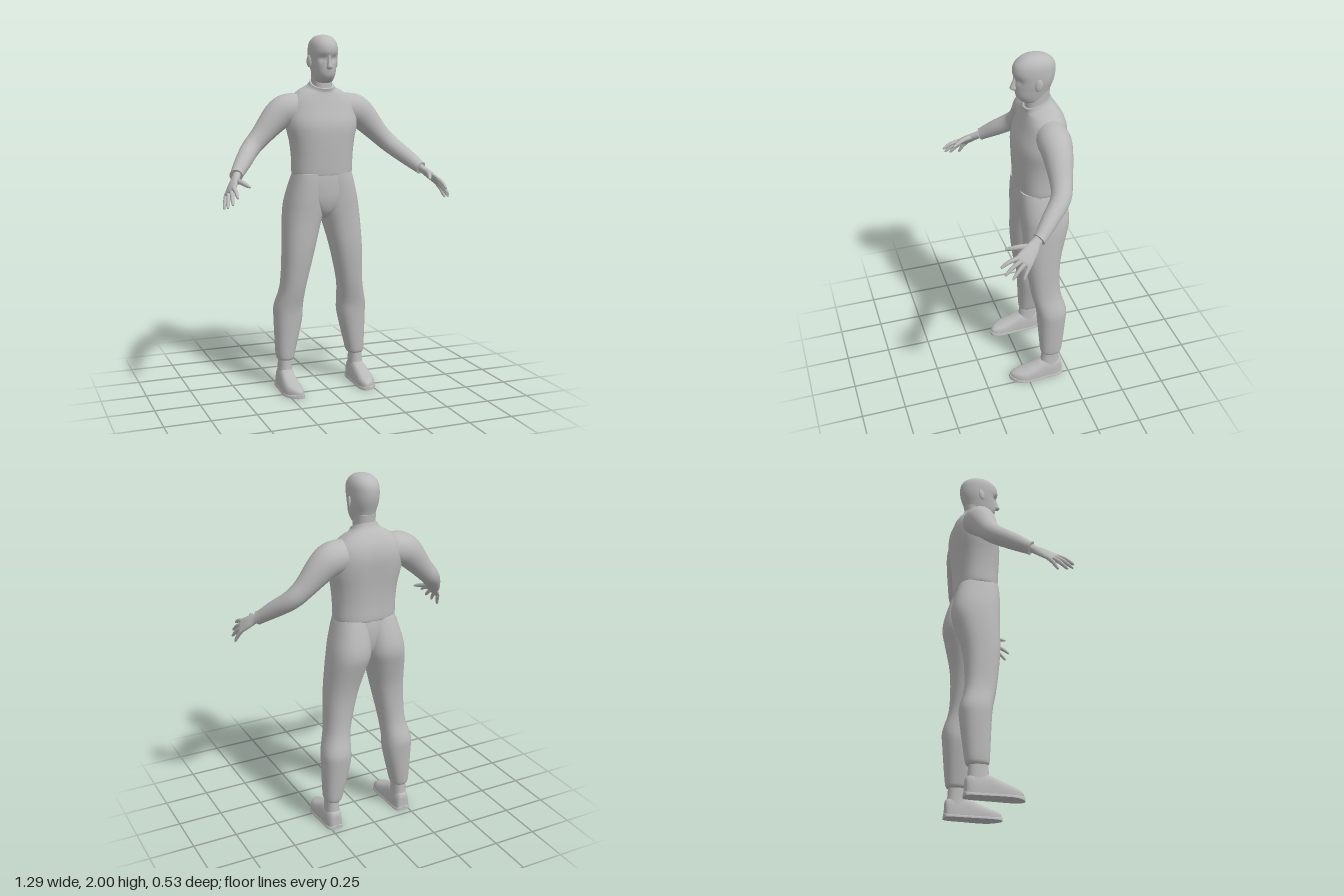
import * as THREE from 'three';

const V = (x, y, z) => new THREE.Vector3(x, y, z);
const grey = new THREE.MeshStandardMaterial({ color: 0xbababa });
grey.name = 'plain grey';

// Catmull-Rom subdivision of a list of equally long number rows
function refine(rows, n) {
  const out = [];
  const at = i => rows[Math.max(0, Math.min(rows.length - 1, i))];
  for (let i = 0; i < rows.length - 1; i++) {
    for (let k = 0; k < n; k++) {
      const t = k / n;
      out.push(at(i).map((p1, c) => {
        const p0 = at(i - 1)[c], p2 = at(i + 1)[c], p3 = at(i + 2)[c];
        return p1 + 0.5 * t * (p2 - p0 + t * (2 * p0 - 5 * p1 + 4 * p2 - p3 + t * (3 * (p1 - p2) + p3 - p0)));
      }));
    }
  }
  out.push(rows[rows.length - 1]);
  return out;
}

// Skin over closed rings of points, with flat caps at both ends
function loft(rings) {
  const n = rings[0].length, pos = [], idx = [];
  rings.forEach(r => r.forEach(p => pos.push(p.x, p.y, p.z)));
  for (let i = 0; i < rings.length - 1; i++) {
    for (let j = 0; j < n; j++) {
      const a = i * n + j, b = i * n + (j + 1) % n, c = a + n, d = b + n;
      idx.push(a, c, b, b, c, d);
    }
  }
  [rings[0], rings[rings.length - 1]].forEach((r, end) => {
    const s = pos.length / 3;
    const mid = r.reduce((m, p) => m.add(p), V(0, 0, 0)).divideScalar(n);
    [mid, ...r].forEach(p => pos.push(p.x, p.y, p.z));
    for (let j = 0; j < n; j++) {
      const a = s + 1 + j, b = s + 1 + (j + 1) % n;
      if (end) idx.push(s, b, a); else idx.push(s, a, b);
    }
  });
  const g = new THREE.BufferGeometry();
  g.setAttribute('position', new THREE.Float32BufferAttribute(pos, 3));
  g.setIndex(idx);
  g.computeVertexNormals();
  return g;
}

// Upright body: rows of y, x min, x max, z front, z back and an optional tilt
function stack(rows, { sides = 28, power = 0.85, shape } = {}) {
  const bend = v => Math.sign(v) * Math.abs(v) ** power;
  const full = rows.map(r => [...r, 0].slice(0, 6));
  return loft(refine(full, 3).map(([y, x0, x1, zf, zb, tilt]) =>
    Array.from({ length: sides }, (_, j) => {
      const a = j / sides * Math.PI * 2;
      const dz = (zf - zb) / 2 * bend(Math.sin(a));
      const p = V((x0 + x1) / 2 + (x1 - x0) / 2 * bend(Math.cos(a)), y + tilt * dz, (zf + zb) / 2 + dz);
      if (shape) shape(p, Math.sin(a));
      return p;
    })));
}
const even = rows => rows.map(([y, w, ...rest]) => [y, -w, w, ...rest]);

// Limb: rows of x, y, z, thickness radius, breadth radius
function limb(rows, { sides = 18, n = 4 } = {}) {
  const ref = V(0.8, 0.6, 0);
  const fine = refine(rows, n), c = fine.map(r => V(r[0], r[1], r[2]));
  return loft(fine.map((r, i) => {
    const t = c[Math.min(i + 1, c.length - 1)].clone().sub(c[Math.max(i - 1, 0)]).normalize();
    const v = V(0, 0, 0).crossVectors(t, ref).normalize();
    const u = V(0, 0, 0).crossVectors(v, t);
    return Array.from({ length: sides }, (_, j) => {
      const a = j / sides * Math.PI * 2;
      return c[i].clone().addScaledVector(v, r[4] * Math.cos(a)).addScaledVector(u, r[3] * Math.sin(a));
    });
  }));
}

// Foot piece: rows of z, centre x, half width, height
function shoe(rows, grow, low, topOf) {
  return loft(refine(rows, 3).map(([z, cx, w, h]) =>
    Array.from({ length: 20 }, (_, j) => {
      const a = j / 20 * Math.PI * 2, up = Math.cos(a), s = Math.sin(a);
      const across = Math.sign(s) * Math.abs(s) ** 0.6;
      return V(cx + (w + grow) * across, up > 0 ? low + (topOf(h) - low) * up ** 0.8 : low, z + grow * Math.sign(z));
    })));
}

function mirrored(geo) {
  const g = geo.clone(), p = g.attributes.position, ix = g.index;
  for (let i = 0; i < p.count; i++) p.setX(i, -p.getX(i));
  for (let i = 0; i < ix.count; i += 3) {
    const b = ix.getX(i + 1);
    ix.setX(i + 1, ix.getX(i + 2));
    ix.setX(i + 2, b);
  }
  g.computeVertexNormals();
  return g;
}

export function createModel() {
  const model = new THREE.Group();
  model.name = 'standingMan';
  const add = (name, geo) => {
    const m = new THREE.Mesh(geo, grey);
    m.name = name;
    model.add(m);
  };
  const pair = (name, geo) => {
    add(name + 'Left', geo);
    add(name + 'Right', mirrored(geo));
  };
  const bump = (d, w) => Math.exp(-(d * d) / (w * w));

  // Head with eye sockets and mouth line, nose, ears, neck
  add('head', stack(even([
    [1.737, 0.036, -0.05, -0.14], [1.752, 0.05, -0.018, -0.158], [1.785, 0.06, 0.006, -0.172],
    [1.82, 0.067, 0.008, -0.183], [1.85, 0.073, 0.008, -0.194], [1.88, 0.076, 0.012, -0.202],
    [1.91, 0.077, 0.02, -0.205], [1.945, 0.074, 0.014, -0.202], [1.972, 0.063, -0.008, -0.185],
    [1.992, 0.042, -0.04, -0.15], [2.0, 0.014, -0.08, -0.11],
  ]), {
    power: 0.92, sides: 36, shape: (p, s) => {
      if (s <= 0) return;
      p.z -= 0.016 * bump(Math.abs(p.x) - 0.032, 0.016) * bump(p.y - 1.872, 0.016);
      p.z -= 0.006 * bump(p.x, 0.025) * bump(p.y - 1.792, 0.007);
    },
  }));
  add('nose', stack(even([
    [1.812, 0.008, 0.018, -0.01], [1.822, 0.016, 0.034, -0.01], [1.84, 0.012, 0.03, -0.01],
    [1.87, 0.008, 0.018, -0.01], [1.895, 0.008, 0.014, -0.01],
  ]), { sides: 14 }));
  const ear = new THREE.SphereGeometry(1, 14, 10).scale(0.009, 0.034, 0.02);
  ear.rotateY(-0.35).rotateX(-0.15).translate(0.079, 1.857, -0.095);
  pair('ear', ear);
  add('neck', stack(even([
    [1.64, 0.065, -0.045, -0.18], [1.72, 0.056, -0.048, -0.172], [1.8, 0.056, -0.05, -0.178],
  ])));

  // Sweater with a slanted collar and a shallow spine groove
  add('sweater', stack(even([
    [1.232, 0.168, 0.005, -0.225], [1.25, 0.174, 0.008, -0.23], [1.33, 0.176, 0.012, -0.232],
    [1.42, 0.186, 0.016, -0.24], [1.51, 0.205, 0.014, -0.252], [1.59, 0.2, -0.012, -0.258],
    [1.65, 0.178, -0.03, -0.245, -0.05], [1.695, 0.125, -0.042, -0.215, -0.15],
    [1.715, 0.08, -0.042, -0.192, -0.3], [1.735, 0.066, -0.038, -0.182, -0.4],
  ]), {
    shape: (p, s) => {
      if (s < 0) p.z += 0.012 * bump(p.x, 0.03) * bump(p.y - 1.45, 0.2);
    },
  }));
  pair('sleeve', limb([
    [0.1, 1.6, -0.14, 0.08, 0.08], [0.19, 1.59, -0.142, 0.09, 0.088], [0.255, 1.553, -0.14, 0.082, 0.08],
    [0.35, 1.452, -0.128, 0.059, 0.06], [0.415, 1.388, -0.105, 0.052, 0.053],
    [0.48, 1.323, -0.03, 0.046, 0.046], [0.532, 1.268, 0.035, 0.036, 0.036], [0.542, 1.258, 0.05, 0.036, 0.037],
  ]));

  // Hands
  pair('palm', limb([
    [0.532, 1.27, 0.035, 0.022, 0.025], [0.55, 1.247, 0.07, 0.02, 0.028], [0.575, 1.22, 0.105, 0.019, 0.04],
    [0.6, 1.19, 0.145, 0.014, 0.047], [0.607, 1.181, 0.157, 0.008, 0.042],
  ]));
  const tips = [[0.592, 1.165, 0.265], [0.615, 1.13, 0.25], [0.633, 1.11, 0.215], [0.639, 1.1, 0.16]];
  tips.forEach((tip, i) => {
    const o = -0.034 + i * 0.0227;
    const base = [0.6 + 0.365 * o, 1.19 - 0.47 * o, 0.143 - 0.8 * o];
    const row = (t, r) => [...base.map((b, k) => b + (tip[k] - b) * t + (k === 1 ? 0.008 * Math.sin(Math.PI * t) : 0)), r, r];
    pair('finger' + (i + 1), limb([row(0, 0.012), row(0.5, 0.011), row(0.9, 0.008), row(1, 0.004)], { sides: 10, n: 2 }));
  });
  pair('thumb', limb([
    [0.56, 1.235, 0.09, 0.015, 0.018], [0.545, 1.236, 0.145, 0.013, 0.014],
    [0.525, 1.222, 0.195, 0.01, 0.011], [0.514, 1.214, 0.219, 0.005, 0.005],
  ], { sides: 10, n: 2 }));

  // Trousers: two legs and the pelvis that joins them
  pair('trouserLeg', stack([
    [0.162, 0.178, 0.252, -0.1, -0.195], [0.172, 0.168, 0.262, -0.087, -0.204], [0.21, 0.158, 0.268, -0.082, -0.212],
    [0.4, 0.114, 0.275, -0.07, -0.232], [0.48, 0.111, 0.273, -0.062, -0.235], [0.6, 0.1, 0.244, -0.036, -0.204],
    [0.8, 0.055, 0.235, -0.01, -0.208], [0.95, 0.016, 0.226, -0.004, -0.243], [1.03, -0.006, 0.218, 0, -0.264],
    [1.1, -0.01, 0.206, 0.004, -0.262], [1.19, -0.01, 0.182, 0.005, -0.238], [1.242, -0.01, 0.166, 0.002, -0.22],
  ]));
  add('pelvis', stack(even([
    [0.985, 0.02, -0.06, -0.16], [1.02, 0.06, -0.02, -0.19], [1.09, 0.14, 0.003, -0.22],
    [1.18, 0.172, 0.007, -0.228], [1.242, 0.166, 0.003, -0.222],
  ])));

  // Ankles, shoes and soles
  pair('ankle', stack([
    [0.06, 0.175, 0.262, -0.07, -0.2], [0.11, 0.18, 0.257, -0.085, -0.195], [0.2, 0.182, 0.252, -0.095, -0.19],
  ], { sides: 18 }));
  const foot = [
    [-0.21, 0.217, 0.016, 0.08], [-0.203, 0.218, 0.034, 0.1], [-0.17, 0.22, 0.045, 0.115],
    [-0.1, 0.22, 0.048, 0.118], [-0.04, 0.222, 0.051, 0.092], [0.025, 0.22, 0.052, 0.068],
    [0.065, 0.213, 0.041, 0.055], [0.09, 0.206, 0.023, 0.043], [0.1, 0.203, 0.008, 0.032],
  ];
  pair('shoe', shoe(foot, 0, 0.012, h => h));
  pair('sole', shoe(foot, 0.004, 0, () => 0.024));

  return model;
}
